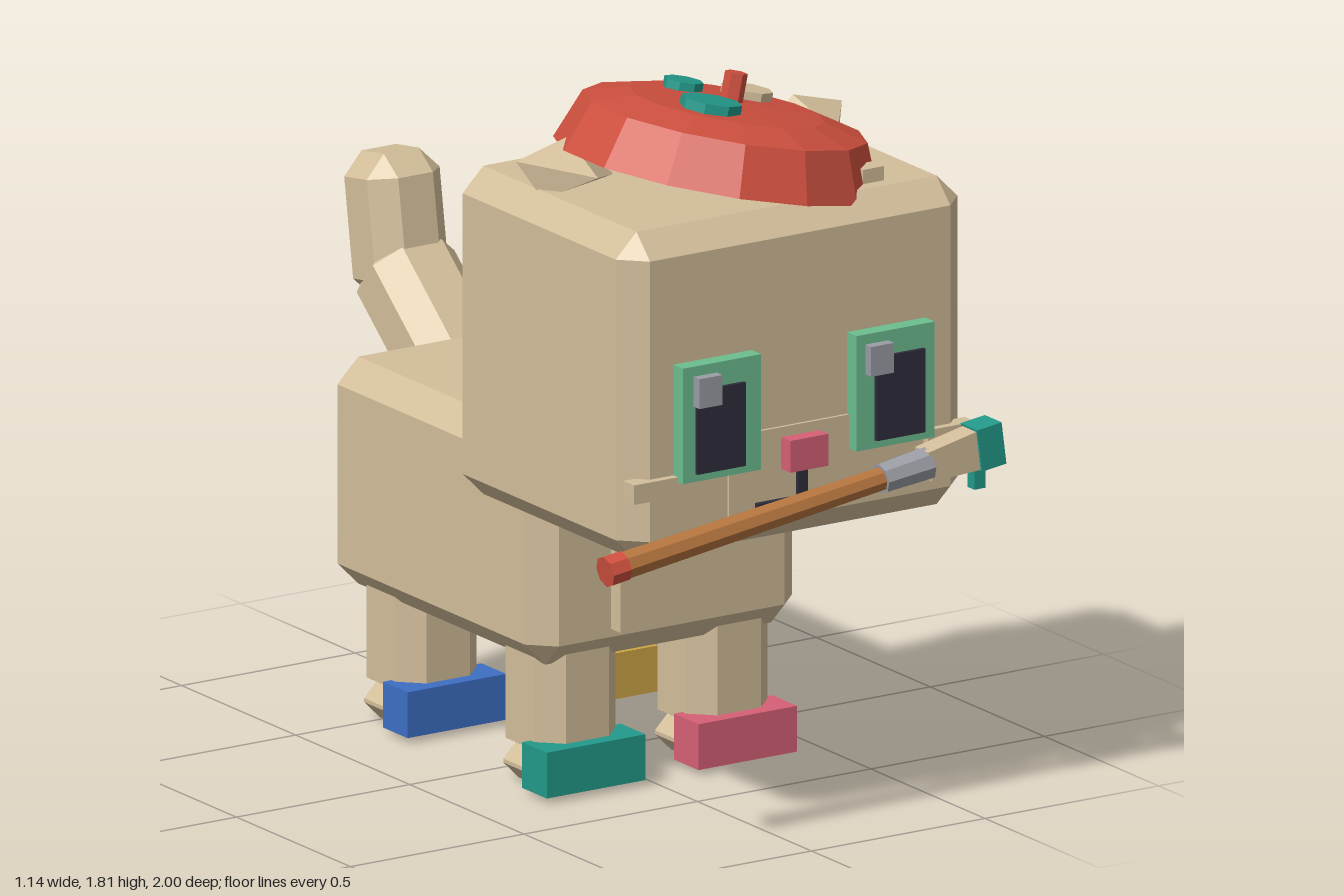
import * as THREE from 'three';
import { ConvexGeometry } from 'three/addons/geometries/ConvexGeometry.js';

const mat = (name, color) => {
  const m = new THREE.MeshStandardMaterial({ color });
  m.name = name;
  return m;
};

export function createModel() {
  const model = new THREE.Group();
  model.name = 'boxyCatPainter';
  const CX = 0.045; // symmetry plane of the animal

  const fur = mat('tan fur', 0xd3be9a);
  const teal = mat('teal', 0x22998a);
  const pink = mat('pink', 0xd66076);
  const yellow = mat('yellow', 0xcfa545);
  const blue = mat('blue', 0x3d6fc4);
  const green = mat('eye green', 0x6cbe90);
  const dark = mat('dark', 0x2f2d3b);
  const grey = mat('grey', 0x9b9da5);
  const red = mat('red', 0xcf503f);
  const brown = mat('brown wood', 0xb5743e);

  // Faceted mesh at a position
  function add(name, geometry, material, x, y, z, parent = model) {
    const g = geometry.index ? geometry.toNonIndexed() : geometry;
    g.computeVertexNormals();
    const mesh = new THREE.Mesh(g, material);
    mesh.name = name;
    mesh.position.set(x, y, z);
    parent.add(mesh);
    return mesh;
  }

  // Plain box given by its min and max corners
  function block(name, material, [x0, x1], [y0, y1], [z0, z1], parent = model) {
    return add(name, new THREE.BoxGeometry(x1 - x0, y1 - y0, z1 - z0), material,
      (x0 + x1) / 2, (y0 + y1) / 2, (z0 + z1) / 2, parent);
  }

  // Box with every edge and corner chamfered
  function chamferBox(w, h, d, c, cy = c) {
    const pts = [];
    for (const sx of [-1, 1]) for (const sy of [-1, 1]) for (const sz of [-1, 1]) {
      const a = w / 2, b = h / 2, e = d / 2;
      pts.push(new THREE.Vector3(sx * a, sy * (b - cy), sz * (e - c)));
      pts.push(new THREE.Vector3(sx * (a - c), sy * b, sz * (e - c)));
      pts.push(new THREE.Vector3(sx * (a - c), sy * (b - cy), sz * e));
    }
    return new ConvexGeometry(pts);
  }

  // Body, chest and head
  add('body', chamferBox(0.77, 0.57, 0.94, 0.06), fur, CX, 0.615, -0.15);
  block('chest', fur, [-0.13, 0.22], [0.41, 0.8], [0.3, 0.36]);
  add('head', chamferBox(0.985, 0.825, 0.79, 0.06), fur, CX, 1.162, 0.487);

  // Legs, paws and coloured shoes
  const legs = [
    ['frontRight', -0.175, 0.167, teal], ['frontLeft', 0.262, 0.167, pink],
    ['backRight', -0.175, -0.443, blue], ['backLeft', 0.262, -0.443, yellow],
  ];
  for (const [name, x, z, shoe] of legs) {
    add(name + 'Leg', chamferBox(0.235, 0.36, 0.235, 0.055, 0.03), fur, x, 0.26, z);
    add(name + 'Paw', chamferBox(0.235, 0.1, 0.235, 0.045), fur, x, 0.05, z);
    block(name + 'Shoe', shoe, [x - 0.142, x + 0.142], [0.015, 0.13], [z + 0.047, z + 0.155]);
  }

  // Tail in two segments
  const tailBase = add('tailBase', chamferBox(0.235, 0.4, 0.23, 0.06), fur, CX, 0.9, -0.74);
  tailBase.rotation.x = -50 * Math.PI / 180;
  const tailTip = add('tailTip', chamferBox(0.21, 0.36, 0.21, 0.055), fur, CX - 0.005, 1.105, -0.88);
  tailTip.rotation.x = -9 * Math.PI / 180;

  // Eyes
  for (const [side, x, px, hx] of [['right', -0.32, -0.285, -0.29], ['left', 0.18, 0.232, 0.205]]) {
    block(side + 'EyeFrame', green, [x, x + 0.225], [0.955, 1.245], [0.87, 0.924]);
    block(side + 'Pupil', dark, [px, px + 0.14], [0.975, 1.185], [0.922, 0.934]);
    block(side + 'EyeHighlight', grey, [hx, hx + 0.066], [1.145, 1.22], [0.922, 0.95]);
  }

  // Muzzle, nose, mouth and whiskers
  block('muzzle', fur, [-0.165, 0.245], [0.82, 1.04], [0.87, 0.89]);
  block('nose', pink, [-0.015, 0.095], [0.935, 1.015], [0.88, 0.93]);
  block('mouthLine', dark, [0.028, 0.055], [0.86, 0.935], [0.885, 0.9]);
  block('mouth', dark, [-0.09, 0.165], [0.835, 0.862], [0.885, 0.905]);
  block('rightWhisker', fur, [-0.447, -0.31], [0.918, 0.967], [0.855, 0.902]);
  block('leftWhisker', fur, [0.4, 0.537], [0.918, 0.967], [0.855, 0.902]);

  // Ears, pointing forward from the top corners of the head
  for (const [side, s] of [['left', 1], ['right', -1]]) {
    const pts = [[0.47, 1.64, 0.35], [0.325, 1.68, 0.355], [0.2, 1.57, 0.37],
      [0.425, 1.55, 0.4], [0.345, 1.62, 0.52]]
      .map(([x, y, z]) => new THREE.Vector3(CX + s * x, y, z));
    add(side + 'Ear', new ConvexGeometry(pts), fur, 0, 0, 0);
  }

  // Tilted beret with paint dabs
  const beret = new THREE.Group();
  beret.name = 'beret';
  beret.position.set(0.065, 1.58, 0.483);
  beret.rotation.z = -12 * Math.PI / 180;
  model.add(beret);
  const profile = [[0, 0], [0.4, 0], [0.35, 0.125], [0.24, 0.155], [0, 0.165]]
    .map(([r, y]) => new THREE.Vector2(r, y));
  add('beretCap', new THREE.LatheGeometry(profile, 14), red, 0, 0, 0, beret);
  add('beretStem', new THREE.CylinderGeometry(0.028, 0.028, 0.09, 6), red, 0.01, 0.19, 0, beret);
  const dabs = [[teal, -0.105, 0.08, 0.076], [teal, -0.04, -0.138, 0.049], [fur, 0.11, -0.083, 0.064]];
  for (const [material, x, z, r] of dabs) {
    add('paintDab', new THREE.CylinderGeometry(r, r, 0.03, 8), material, x, 0.166, z, beret);
  }
  block('beretTag', fur, [0.29, 0.35], [1.57, 1.61], [0.735, 0.785]);

  // Paintbrush held in the mouth, built along its own x axis
  const brush = new THREE.Group();
  brush.name = 'paintbrush';
  brush.position.set(-0.565, 0.782, 0.955);
  brush.rotation.z = 7.5 * Math.PI / 180;
  model.add(brush);
  const rod = (name, material, x0, x1, r0, r1) => {
    const g = new THREE.CylinderGeometry(r1, r0, x1 - x0, 8).rotateZ(-Math.PI / 2);
    add(name, g, material, (x0 + x1) / 2, 0, 0, brush);
  };
  rod('handleEnd', red, 0, 0.052, 0.039, 0.039);
  rod('handle', brown, 0.05, 0.81, 0.036, 0.03);
  rod('ferrule', grey, 0.8, 0.935, 0.038, 0.042);
  // Bristles flare towards the painted tip
  const bristles = new THREE.BoxGeometry(0.15, 0.1, 0.06);
  const p = bristles.attributes.position;
  for (let i = 0; i < p.count; i++) if (p.getX(i) < 0) p.setY(i, p.getY(i) * 0.75);
  add('bristles', bristles, fur, 1.0, 0, 0, brush);
  block('paintedTip', teal, [1.065, 1.135], [-0.052, 0.055], [-0.037, 0.037], brush);
  block('paintDrip', teal, [0.489, 0.521], [0.82, 0.9], [0.94, 0.97]);

  return model;
}
